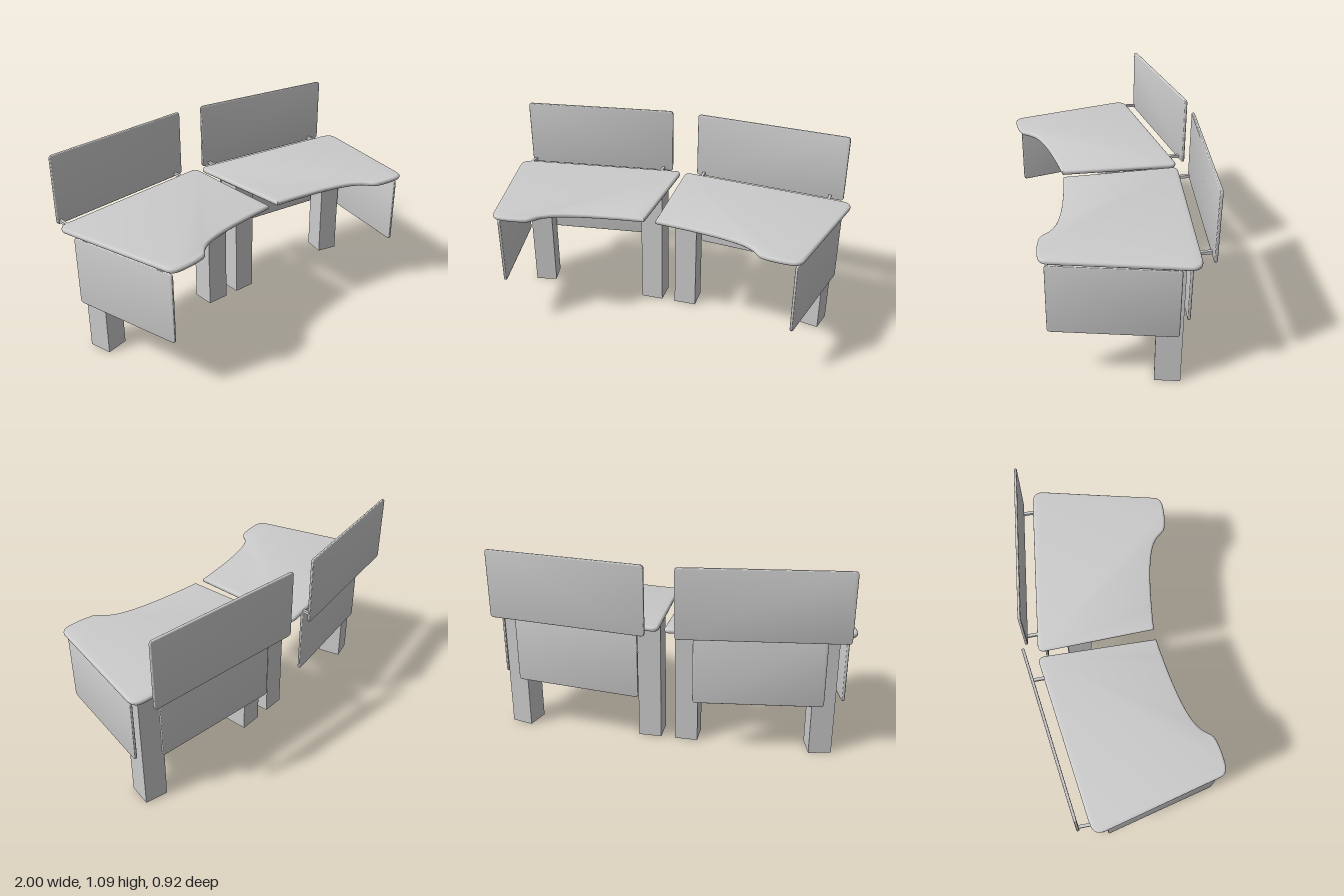
import * as THREE from 'three';
import { toCreasedNormals } from 'three/addons/utils/BufferGeometryUtils.js';

const material = new THREE.MeshStandardMaterial({ color: 0xcccccc });

function addMesh(parent, name, geometry) {
  const mesh = new THREE.Mesh(geometry, material);
  mesh.name = name;
  parent.add(mesh);
  return mesh;
}

// Rounded-edge slab from a shape, depth along +z, keeping the outline size
function slab(shape, thickness, bevel) {
  const geometry = new THREE.ExtrudeGeometry(shape, {
    depth: thickness - 2 * bevel, bevelThickness: bevel, bevelSize: bevel,
    bevelOffset: -bevel, bevelSegments: 3, curveSegments: 10,
  });
  geometry.translate(0, 0, bevel);
  return toCreasedNormals(geometry, 0.6);
}

function roundedRect(w, h, r) {
  const s = new THREE.Shape();
  const x = w / 2, y = h / 2;
  s.moveTo(-x + r, -y);
  s.lineTo(x - r, -y).quadraticCurveTo(x, -y, x, -y + r);
  s.lineTo(x, y - r).quadraticCurveTo(x, y, x - r, y);
  s.lineTo(-x + r, y).quadraticCurveTo(-x, y, -x, y - r);
  s.lineTo(-x, -y + r).quadraticCurveTo(-x, -y, -x + r, -y);
  return s;
}

// Upright board running between two [x, z] ends; returns its yaw
function addBoard(parent, name, a, b, y0, y1) {
  const dx = b[0] - a[0], dz = b[1] - a[1], t = 0.015;
  const geometry = slab(roundedRect(Math.hypot(dx, dz), y1 - y0, 0.02), t, 0.005);
  geometry.translate(0, 0, -t / 2);
  const board = addMesh(parent, name, geometry);
  board.position.set((a[0] + b[0]) / 2, (y0 + y1) / 2, (a[1] + b[1]) / 2);
  board.rotation.y = Math.atan2(-dz, dx);
  return board.rotation.y;
}

function addBox(parent, name, size, position, yaw = 0) {
  const box = addMesh(parent, name, new THREE.BoxGeometry(...size));
  box.position.set(...position);
  box.rotation.y = yaw;
}

const along = (a, b, t) => [a[0] + (b[0] - a[0]) * t, a[1] + (b[1] - a[1]) * t];

// Worktop outline; side is +1 or -1, gap is the distance of its inner edge from x = 0
function worktopShape(side, gap, backZ) {
  const s = new THREE.Shape();
  const p = (x, z) => [side * x, -z];
  s.moveTo(...p(gap + 0.015, 0.25));
  s.lineTo(...p(gap, backZ + 0.035));
  s.quadraticCurveTo(...p(gap, backZ - 0.005), ...p(gap + 0.04, backZ));
  s.lineTo(...p(0.94, -0.285));
  s.quadraticCurveTo(...p(1.01, -0.275), ...p(0.995, -0.21));
  s.lineTo(...p(0.84, 0.415));
  s.quadraticCurveTo(...p(0.83, 0.46), ...p(0.78, 0.46));
  s.quadraticCurveTo(...p(0.7, 0.46), ...p(0.635, 0.44));
  // Wavy, scooped front edge
  s.bezierCurveTo(...p(0.59, 0.42), ...p(0.61, 0.39), ...p(0.52, 0.345));
  s.bezierCurveTo(...p(0.42, 0.3), ...p(0.22, 0.27), ...p(gap + 0.015, 0.25));
  return s;
}

// One workstation; measurements are distances outward from x = 0
function createDesk(o) {
  const desk = new THREE.Group();
  desk.name = o.name;
  const s = o.side;
  const at = ([x, z]) => [s * x, z];

  // Worktop
  const top = slab(worktopShape(s, o.gap, o.backZ), 0.027, 0.012);
  top.rotateX(-Math.PI / 2);
  addMesh(desk, 'worktop', top).position.y = 0.707;

  // Legs
  addBox(desk, 'innerLeg', [0.128, 0.708, 0.13], [s * o.innerLegX, 0.354, -0.165]);
  addBox(desk, 'outerLeg', [0.125, 0.708, 0.132], [s * o.outerLegX, 0.354, -0.165], -s * 0.24);

  // Privacy screen behind the worktop, held by short arms
  const [sa, sb] = o.screen.map(at);
  const screenYaw = addBoard(desk, 'privacyScreen', sa, sb, 0.705, 1.085);
  for (const t of o.arms) {
    const [x, z] = along(sa, sb, t);
    addBox(desk, 'screenArm', [0.016, 0.016, 0.1],
      [x + Math.sin(screenYaw) * 0.05, 0.722, z + Math.abs(Math.cos(screenYaw)) * 0.05]);
  }

  // Back and side panels hung under the worktop on small hangers
  const hung = [['backPanel', o.back, [0.16, 0.82]], ['sidePanel', o.sidePanel, [0.12, 0.89]]];
  for (const [name, ends, hangers] of hung) {
    const [a, b] = ends.map(at);
    const yaw = addBoard(desk, name, a, b, 0.305, 0.69);
    for (const t of hangers) {
      const [x, z] = along(a, b, t);
      addBox(desk, name + 'Hanger', [0.034, 0.03, 0.01], [x, 0.698, z], yaw);
    }
  }
  return desk;
}

export function createModel() {
  const model = new THREE.Group();
  model.name = 'doubleDesk';
  model.add(
    createDesk({
      name: 'leftDesk', side: 1, gap: 0.011, backZ: -0.393,
      innerLegX: 0.098, outerLegX: 0.857,
      screen: [[0.067, -0.453], [0.95, -0.345]], arms: [0.06, 0.92],
      back: [[0.13, -0.357], [0.847, -0.267]],
      sidePanel: [[0.954, -0.192], [0.806, 0.433]],
    }),
    createDesk({
      name: 'rightDesk', side: -1, gap: 0.02, backZ: -0.4,
      innerLegX: 0.11, outerLegX: 0.84,
      screen: [[0.088, -0.458], [0.97, -0.345]], arms: [0.055, 0.97],
      back: [[0.167, -0.36], [0.857, -0.27]],
      sidePanel: [[0.958, -0.192], [0.808, 0.428]],
    }),
  );
  return model;
}
